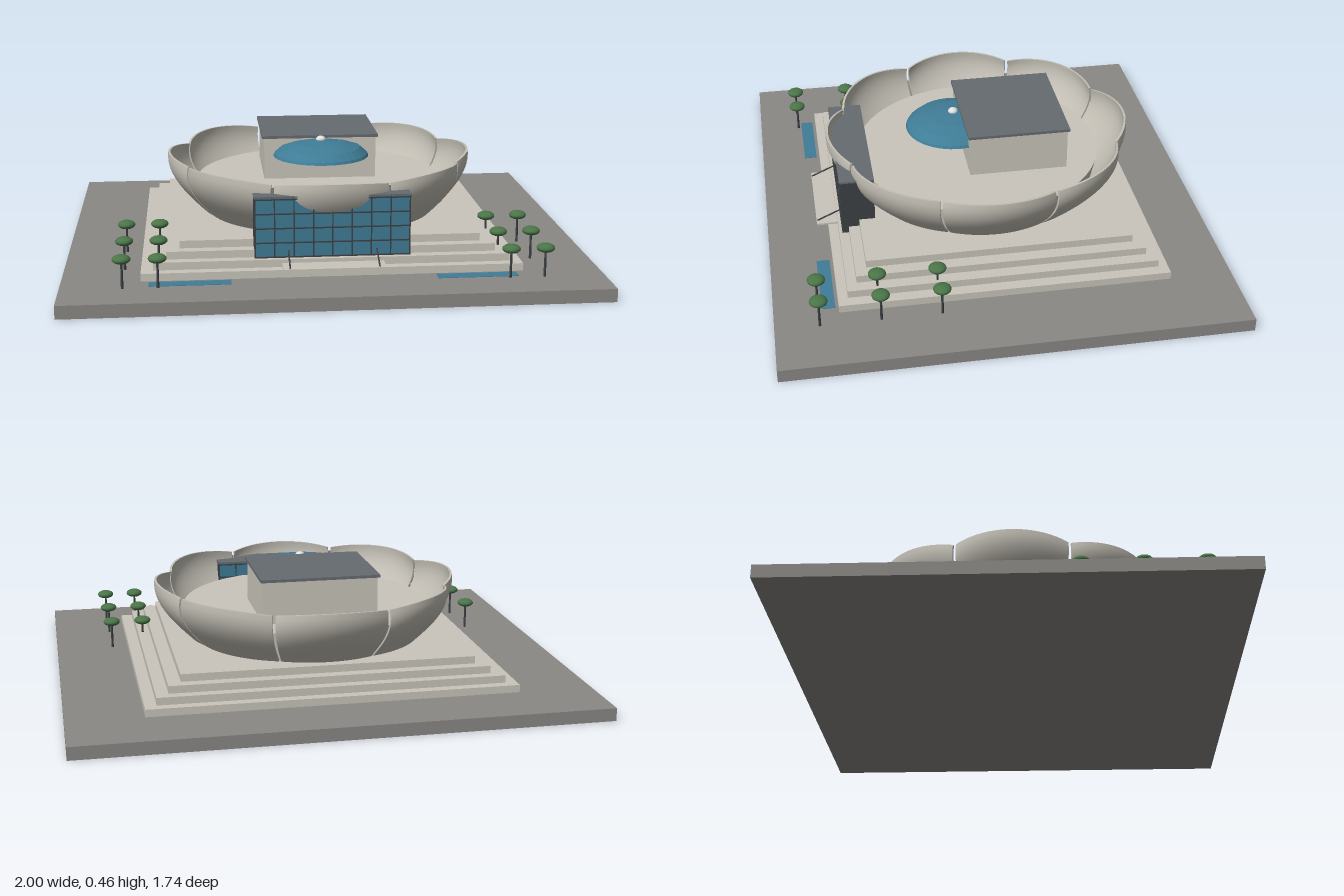
import * as THREE from 'three';
import { toCreasedNormals } from 'three/addons/utils/BufferGeometryUtils.js';

const mat = (name, color, extra = {}) => {
  const m = new THREE.MeshStandardMaterial({ color, ...extra });
  m.name = name;
  return m;
};

export function createModel() {
  const root = new THREE.Group();
  root.name = 'petalHall';
  const paving = mat('paving grey', 0x8a8885);
  const stone = mat('pale stone', 0xc9c5bb);
  const shell = mat('shell stone', 0xc2beb4);
  const glass = mat('blue glass', 0x3f7c96);
  const domeGlass = mat('dome glass', 0x3f7c96, { flatShading: true });
  const slate = mat('slate roof', 0x666b71);
  const metal = mat('dark metal', 0x3c4145);
  const leaf = mat('leaf green', 0x4a7548);
  const white = mat('white finial', 0xe2e2de);

  const add = (parent, name, geo, material, x = 0, y = 0, z = 0) => {
    const m = new THREE.Mesh(geo, material);
    m.name = name;
    m.position.set(x, y, z);
    parent.add(m);
    return m;
  };
  // Box given by its lower and upper limits
  const box = (parent, name, material, x0, x1, y0, y1, z0, z1) =>
    add(parent, name, new THREE.BoxGeometry(x1 - x0, y1 - y0, z1 - z0), material,
      (x0 + x1) / 2, (y0 + y1) / 2, (z0 + z1) / 2);
  const group = (name) => {
    const g = new THREE.Group();
    g.name = name;
    root.add(g);
    return g;
  };
  // Thin round bar between two points
  const bar = (parent, name, a, b, r = 0.003) =>
    add(parent, name, new THREE.TubeGeometry(new THREE.LineCurve3(
      new THREE.Vector3(...a), new THREE.Vector3(...b)), 1, r, 6), metal);

  // Ground and stepped terrace
  box(root, 'ground', paving, -1, 1, 0, 0.05, -0.87, 0.87);
  const terrace = group('terrace');
  [[0.71, 0.63], [0.665, 0.593], [0.617, 0.555], [0.567, 0.513]].forEach(([w, d], i) =>
    box(terrace, 'terraceStep', stone, -w, w, 0.05 + i * 0.029, 0.079 + i * 0.029, -d, d));

  // Round drum that carries the flat roof inside the petals
  add(root, 'roofDrum', new THREE.CylinderGeometry(0.49, 0.465, 0.12, 96), stone, 0, 0.223, 0);

  // Curved shell petals with narrow gaps between them
  const petals = group('petals');
  const petalGeo = petalGeometry();
  for (let i = 0; i < 8; i++) {
    add(petals, 'petal', petalGeo, shell).rotation.y = i * Math.PI / 4;
  }

  // Upper block with overhanging slate roof
  const block = group('upperBlock');
  box(block, 'upperWalls', stone, -0.225, 0.225, 0.27, 0.449, -0.325, 0.062);
  box(block, 'upperRoof', slate, -0.234, 0.234, 0.449, 0.46, -0.333, 0.07);

  // Glass dome in front of the block
  const dome = group('dome');
  const profile = [[0, 0.37], [0.13, 0.374], [0.19, 0.386], [0.185, 0.396], [0.155, 0.422],
    [0.1, 0.438], [0, 0.45]].map(([r, y]) => new THREE.Vector2(r, y));
  add(dome, 'domeShell', new THREE.LatheGeometry(profile, 32), domeGlass, 0, 0, 0.097);
  add(dome, 'finial', new THREE.SphereGeometry(0.02, 12, 8), white, 0, 0.45, 0.097).scale.y = 0.7;

  // Glazed entrance hall
  const hall = group('entranceHall');
  box(hall, 'hallGlass', glass, -0.288, 0.288, 0.11, 0.338, 0.453, 0.578);
  box(hall, 'hallRoof', slate, -0.293, 0.293, 0.338, 0.345, 0.448, 0.583);
  const t = 0.0025;
  for (let i = 0; i <= 8; i++) {
    const x = -0.288 + i * 0.072;
    box(hall, 'mullion', metal, x - t, x + t, 0.11, 0.338, 0.45, 0.581);
  }
  for (let i = 0; i <= 4; i++) {
    const y = 0.113 + i * 0.055;
    box(hall, 'transom', metal, -0.291, 0.291, y - t, y + t, 0.45, 0.581);
  }
  for (const z of [0.485, 0.515, 0.547]) {
    box(hall, 'sideMullion', metal, -0.291, 0.291, 0.11, 0.338, z - t, z + t);
  }

  // Entrance slab held by sloping rods
  const entry = group('entrance');
  box(entry, 'entranceSlab', stone, -0.19, 0.19, 0.087, 0.094, 0.57, 0.675);
  for (const x of [-0.165, 0.165]) {
    bar(entry, 'slopingRod', [x, 0.094, 0.672], [x, 0.14, 0.57]);
  }

  // Shallow pools and rows of trees, mirrored left and right
  const pools = group('pools');
  const trees = group('trees');
  const trunkGeo = new THREE.CylinderGeometry(0.004, 0.005, 0.11, 8);
  const crownGeo = new THREE.SphereGeometry(0.034, 16, 10);
  for (const s of [-1, 1]) {
    add(pools, 'pool', new THREE.BoxGeometry(0.3, 0.002, 0.05), glass, s * 0.53, 0.0505, 0.667);
    for (const x of [0.645, 0.773]) {
      for (const z of [0.255, 0.48, 0.705]) {
        add(trees, 'trunk', trunkGeo, metal, s * x, 0.105, z);
        add(trees, 'crown', crownGeo, leaf, s * x, 0.161, z).scale.y = 0.5;
      }
    }
  }
  return root;
}

// One petal facing +z: closed cross-sections swept across its width
function petalGeometry() {
  const nu = 24, nv = 12, half = Math.PI / 8 - 0.011, thick = 0.009;
  const ring = 2 * (nv + 1);
  const pos = [], idx = [];
  for (let i = 0; i <= nu; i++) {
    const u = -1 + 2 * i / nu, a = u * half;
    for (let j = 0; j < ring; j++) {
      const outer = j <= nv;
      const v = (outer ? j : ring - 1 - j) / nv;
      const r = (0.475 + 0.136 * Math.sin(v * 1.72)) * (1 - u * u * (0.015 + 0.045 * v))
        - (outer ? 0 : thick);
      const y = 0.165 + v * (0.227 - 0.018 * u * u);
      pos.push(r * Math.sin(a), y, r * Math.cos(a));
    }
  }
  for (let i = 0; i < nu; i++) {
    for (let j = 0; j < ring; j++) {
      const k = (j + 1) % ring;
      const a = i * ring + j, b = a + ring, c = (i + 1) * ring + k, d = i * ring + k;
      idx.push(a, b, c, a, c, d);
    }
  }
  // Close both side edges
  const e = nu * ring;
  for (let j = 0; j < nv; j++) {
    const p = j, q = j + 1, s = ring - 1 - j, w = ring - 2 - j;
    idx.push(p, q, w, p, w, s, e + p, e + w, e + q, e + p, e + s, e + w);
  }
  const g = new THREE.BufferGeometry();
  g.setAttribute('position', new THREE.Float32BufferAttribute(pos, 3));
  g.setIndex(idx);
  return toCreasedNormals(g, 0.7);
}
